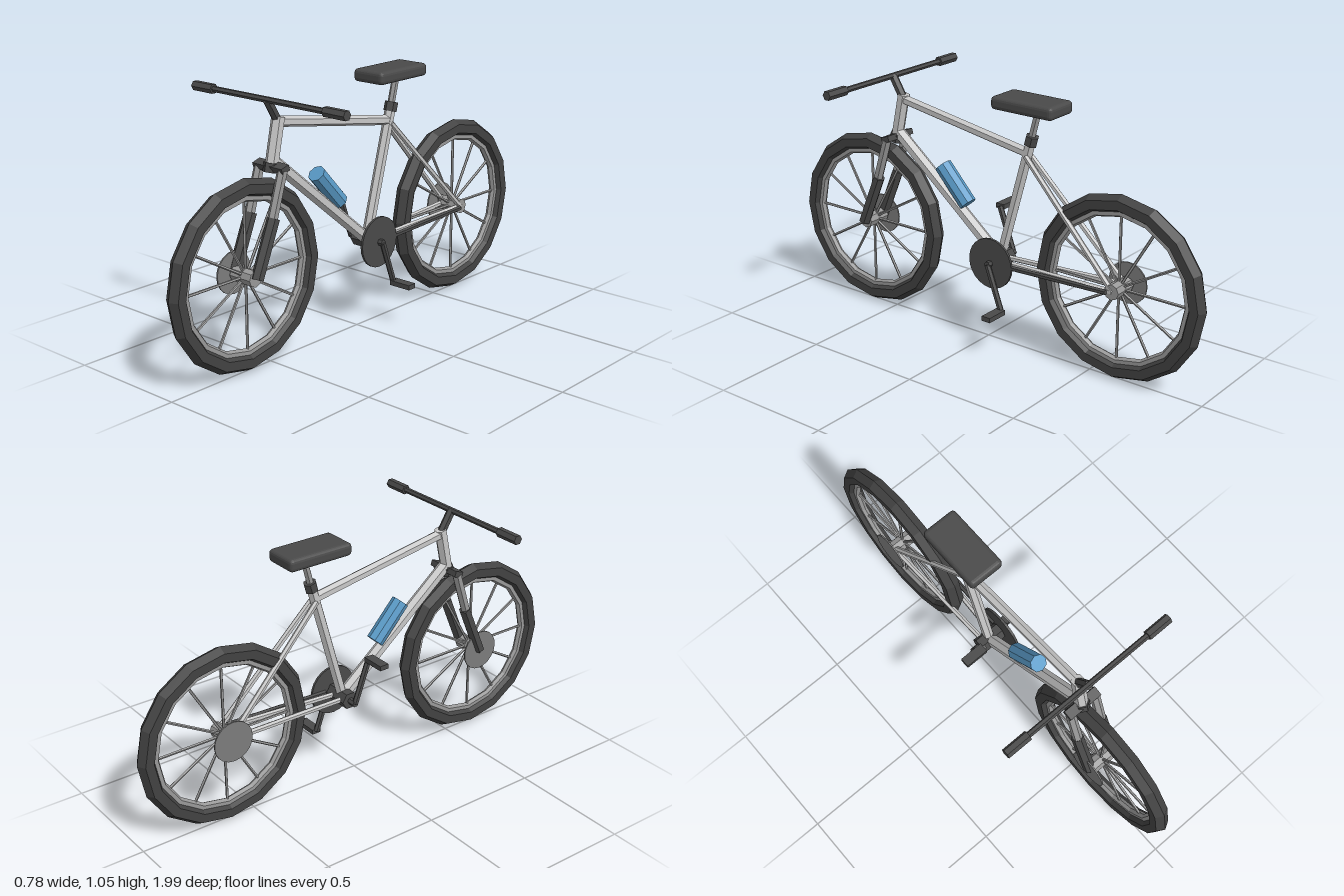
import * as THREE from 'three';
import { RoundedBoxGeometry } from 'three/addons/geometries/RoundedBoxGeometry.js';

const paint = (name, color) => {
  const m = new THREE.MeshStandardMaterial({ color, flatShading: true });
  m.name = name;
  return m;
};

export function createModel() {
  const tyreBlack = paint('tyre black', 0x424242);
  const darkPart = paint('dark parts', 0x4a4a4a);
  const frameSilver = paint('frame silver', 0xc8c8c8);
  const metal = paint('metal grey', 0x999999);
  const discGrey = paint('disc grey', 0x7c7c7c);
  const bottleBlue = paint('bottle blue', 0x5a9bc8);

  const bike = new THREE.Group();
  bike.name = 'bicycle';
  const V = (x, y, z) => new THREE.Vector3(x, y, z);

  const add = (parent, name, geometry, material, pos = V(0, 0, 0)) => {
    const mesh = new THREE.Mesh(geometry, material);
    mesh.name = name;
    mesh.position.copy(pos);
    parent.add(mesh);
    return mesh;
  };

  // Straight tube between two points
  const rod = (parent, name, a, b, r, material, sides = 6) => {
    const dir = b.clone().sub(a);
    const mesh = add(parent, name, new THREE.CylinderGeometry(r, r, dir.length(), sides),
      material, a.clone().add(b).multiplyScalar(0.5));
    mesh.quaternion.setFromUnitVectors(V(0, 1, 0), dir.normalize());
    return mesh;
  };

  // Wheels: tyre, rim, hub, spokes and brake disc
  const wheel = (name, z) => {
    const g = new THREE.Group();
    g.name = name;
    g.position.set(0, 0.38, z);
    const ring = (R, r) => new THREE.TorusGeometry(R, r, 6, 16).rotateY(Math.PI / 2);
    add(g, 'tyre', ring(0.34, 0.037), tyreBlack);
    add(g, 'rim', ring(0.303, 0.016), metal);
    rod(g, 'hub', V(-0.053, 0, 0), V(0.053, 0, 0), 0.032, metal, 8);
    for (let i = 0; i < 12; i++) {
      const a = (i / 12) * Math.PI * 2;
      const c = Math.cos(a), s = Math.sin(a);
      rod(g, 'spoke', V(0, 0.02 * c, 0.02 * s), V(0, 0.3 * c, 0.3 * s), 0.006, metal, 5);
    }
    rod(g, 'brakeDisc', V(-0.068, 0, 0), V(-0.062, 0, 0), 0.085, discGrey, 20);
    bike.add(g);
  };
  wheel('frontWheel', 0.62);
  wheel('rearWheel', -0.62);

  // Frame
  const bracket = V(0, 0.36, -0.06);
  const seatTop = V(0, 0.83, -0.19);
  const headTop = V(0, 0.955, 0.436);
  const headBottom = V(0, 0.785, 0.473);
  rod(bike, 'headTube', headBottom, headTop, 0.026, frameSilver);
  rod(bike, 'topTube', V(0, 0.935, 0.435), seatTop, 0.021, frameSilver);
  rod(bike, 'downTube', V(0, 0.79, 0.465), bracket, 0.026, frameSilver);
  rod(bike, 'seatTube', bracket, V(0, 0.88, -0.204), 0.022, frameSilver);
  for (const s of [-1, 1]) {
    rod(bike, 'seatStay', V(s * 0.015, 0.82, -0.19), V(s * 0.045, 0.38, -0.62), 0.012, frameSilver);
    rod(bike, 'chainStay', V(s * 0.025, 0.36, -0.07), V(s * 0.045, 0.38, -0.62), 0.012, frameSilver);
  }

  // Seat
  rod(bike, 'seatPost', V(0, 0.87, -0.201), V(0, 1.01, -0.238), 0.015, metal);
  rod(bike, 'seatClamp', V(0, 0.865, -0.201), V(0, 0.902, -0.211), 0.027, darkPart);
  add(bike, 'seat', new RoundedBoxGeometry(0.15, 0.052, 0.285, 2, 0.016), darkPart, V(0, 1.024, -0.204));

  // Steering
  rod(bike, 'stem', V(0, 0.94, 0.44), V(0, 1.025, 0.492), 0.018, darkPart);
  rod(bike, 'handlebar', V(-0.3, 1.025, 0.49), V(0.3, 1.025, 0.49), 0.012, darkPart);
  rod(bike, 'headsetCup', V(0, 0.75, 0.481), headBottom, 0.032, darkPart);
  const crown = add(bike, 'forkCrown', new THREE.BoxGeometry(0.152, 0.024, 0.04), darkPart, V(0, 0.772, 0.478));
  crown.rotation.x = 0.3;
  for (const s of [-1, 1]) {
    rod(bike, 'grip', V(s * 0.285, 1.025, 0.49), V(s * 0.39, 1.025, 0.49), 0.02, darkPart);
    rod(bike, 'forkUpper', V(s * 0.06, 0.765, 0.48), V(s * 0.06, 0.56, 0.545), 0.02, metal);
    rod(bike, 'forkLower', V(s * 0.06, 0.595, 0.53), V(s * 0.06, 0.38, 0.62), 0.025, darkPart);
  }

  // Cranks, pedals and chain
  rod(bike, 'bottomBracket', V(-0.055, 0.36, -0.06), V(0.055, 0.36, -0.06), 0.037, darkPart);
  rod(bike, 'crankAxle', V(-0.09, 0.36, -0.06), V(0.09, 0.36, -0.06), 0.014, darkPart);
  rod(bike, 'chainring', V(0.06, 0.36, -0.06), V(0.07, 0.36, -0.06), 0.105, darkPart, 24);
  for (const s of [-1, 1]) {
    const end = V(s * 0.086, 0.36 - s * 0.183, -0.06 - s * 0.068);
    rod(bike, 'crank', V(s * 0.086, 0.36, -0.06), end, 0.0125, darkPart);
    add(bike, 'pedal', new THREE.BoxGeometry(0.1, 0.02, 0.04), darkPart, V(s * 0.135, end.y, end.z));
  }
  rod(bike, 'chain', V(0.06, 0.36, -0.1), V(0.06, 0.378, -0.6), 0.011, darkPart);

  // Water bottle resting on the down tube
  rod(bike, 'bottle', V(0, 0.555, 0.105), V(0, 0.694, 0.234), 0.036, bottleBlue, 8);

  return bike;
}
